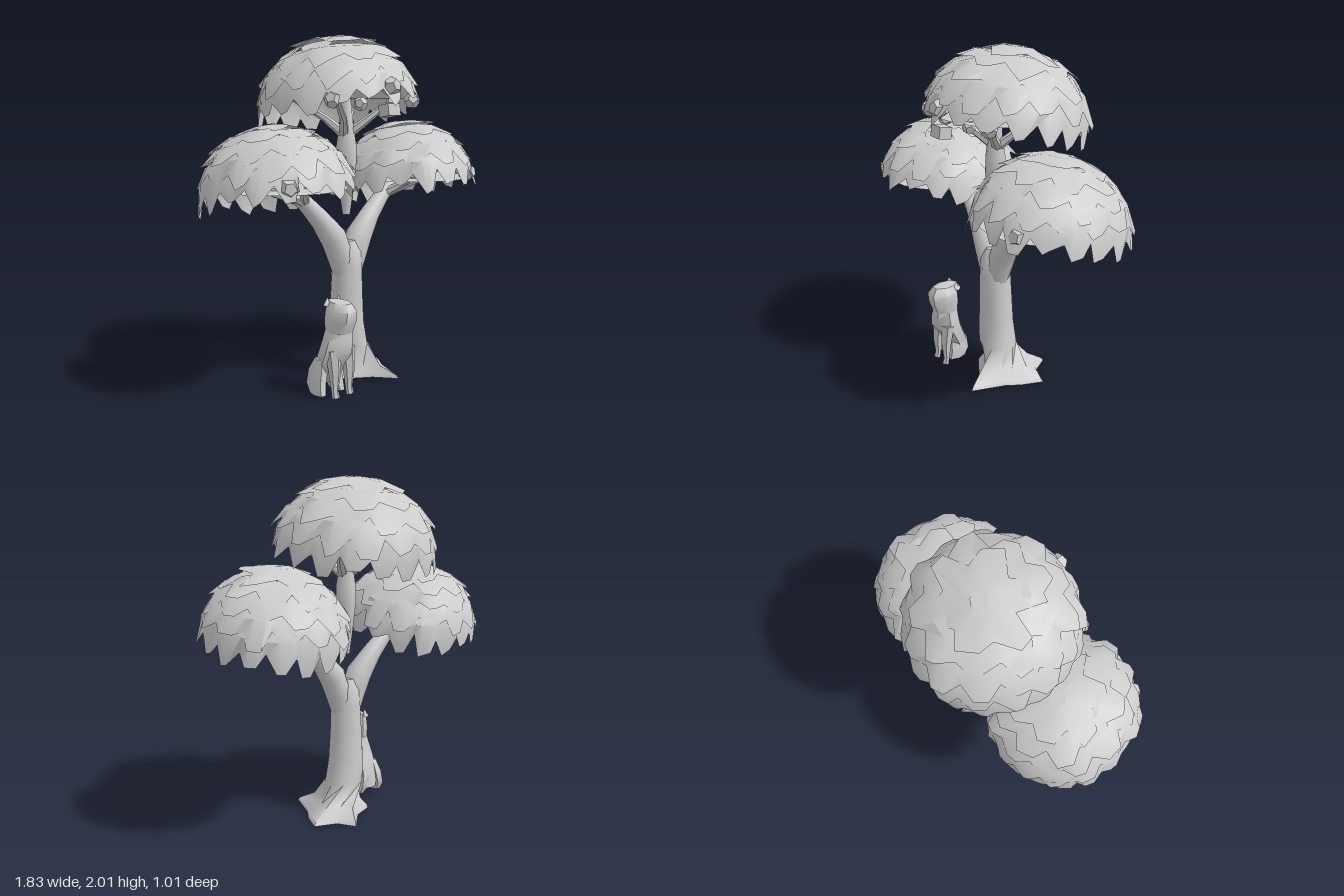
import * as THREE from 'three';
import { toCreasedNormals } from 'three/addons/utils/BufferGeometryUtils.js';

const grey = new THREE.MeshStandardMaterial({ color: 0xcccccc, side: THREE.DoubleSide });
grey.name = 'plain grey';

let seed = 7;
const rnd = () => (seed = (seed * 16807) % 2147483647) / 2147483647;
const V = (x, y, z) => new THREE.Vector3(x, y, z);

function part(name, geometry) {
  const mesh = new THREE.Mesh(geometry, grey);
  mesh.name = name;
  return mesh;
}

// Skin a list of equal-length rings; optionally close both ends.
function loft(rings, capped = true, crease = 0.9) {
  const n = rings[0].length, pos = [], idx = [];
  rings.forEach(r => r.forEach(p => pos.push(p.x, p.y, p.z)));
  for (let k = 0; k < rings.length - 1; k++) {
    for (let i = 0; i < n; i++) {
      const j = (i + 1) % n, a = k * n, b = a + n;
      idx.push(a + i, a + j, b + j, a + i, b + j, b + i);
    }
  }
  if (capped) {
    [0, rings.length - 1].forEach((k, end) => {
      const c = rings[k].reduce((s, p) => s.add(p), V(0, 0, 0)).divideScalar(n);
      const ci = pos.length / 3;
      pos.push(c.x, c.y, c.z);
      for (let i = 0; i < n; i++) {
        const j = (i + 1) % n;
        if (end) idx.push(ci, k * n + i, k * n + j);
        else idx.push(ci, k * n + j, k * n + i);
      }
    });
  }
  const g = new THREE.BufferGeometry();
  g.setAttribute('position', new THREE.Float32BufferAttribute(pos, 3));
  g.setIndex(idx);
  return toCreasedNormals(g, crease);
}

// Horizontal elliptical ring.
function flatRing([x, y, z, rx, rz], n, start = 0) {
  return Array.from({ length: n }, (_, i) => {
    const a = start + i / n * Math.PI * 2;
    return V(x + Math.sin(a) * rx, y, z + Math.cos(a) * rz);
  });
}

// Tapered limb along points [x, y, z, radius].
function limb(points, n = 8) {
  const c = points.map(p => V(p[0], p[1], p[2]));
  return loft(c.map((p, k) => {
    const d = c[Math.min(k + 1, c.length - 1)].clone().sub(c[Math.max(k - 1, 0)]).normalize();
    const u = V(0, 0, 1).addScaledVector(d, -d.z).normalize();
    const v = d.clone().cross(u);
    return Array.from({ length: n }, (_, i) => {
      const a = i / n * Math.PI * 2, r = points[k][3];
      return p.clone().addScaledVector(u, Math.cos(a) * r).addScaledVector(v, Math.sin(a) * r);
    });
  }));
}

// Tilted dome of overlapping ragged leaf skirts over a level underside.
function canopy(name, x, y, z, rx, h, rz, floorY) {
  const group = new THREE.Group(), dome = new THREE.Group();
  group.name = name;
  dome.name = 'leafDome';
  const at = (deg, a, r) => {
    const t = deg * Math.PI / 180;
    return V(Math.sin(t) * Math.sin(a) * r, Math.cos(t) * r, Math.sin(t) * Math.cos(a) * r);
  };
  const layers = [[1, 26, 6], [20, 41, 9], [36, 57, 12], [51, 72, 15], [64, 88, 18]];
  layers.forEach(([t0, t1, teeth], k) => {
    const n = teeth * 3, twist = rnd() * 6, rings = [[], [], []];
    let drop = 0, flare = 0, skew = 0;
    for (let i = 0; i < n; i++) {
      const notch = i % 3 === 0;
      if (notch) {
        drop = 5 + rnd() * 11;
        flare = 0.98 + rnd() * 0.09;
        skew = 0.6 + rnd() * 0.4;
      }
      const a = twist + (i + (rnd() - 0.5) * 0.5) / n * Math.PI * 2;
      const tip = notch ? t1 - 4 + rnd() * 5 : t1 + drop * (i % 3 === 1 ? 1 : skew);
      rings[0].push(at(tip, a, notch ? 0.99 : flare));
      rings[1].push(at((t0 + t1) / 2, a, 0.98 + (flare - 1) * 0.5));
      rings[2].push(at(t0, a, k ? 0.94 : 0.985));
    }
    dome.add(part('leafLayer', loft(rings, false, 0.6)));
  });
  const crown = part('crownTop', new THREE.CircleGeometry(0.1, 9).rotateX(-Math.PI / 2));
  crown.position.y = 0.985;
  dome.add(crown);
  dome.scale.set(rx, h, rz);
  dome.rotation.x = -0.19;
  dome.position.set(x, y, z);
  const under = part('underside', new THREE.CircleGeometry(1, 24).rotateX(Math.PI / 2));
  under.scale.set(rx * 0.93, 1, rz * 0.93);
  under.position.set(x, floorY, z - 0.01);
  group.add(dome, under);
  return group;
}

// Seated animal facing the front.
function seatedAnimal() {
  const g = new THREE.Group();
  g.name = 'seatedAnimal';
  const rings = (list, n) => loft(list.map(r => flatRing(r, n, Math.PI / n)), true, 0.9);
  g.add(part('body', rings([
    [-0.265, 0.05, 0.16, 0.06, 0.04], [-0.265, 0.14, 0.2, 0.09, 0.08],
    [-0.258, 0.25, 0.255, 0.1, 0.092], [-0.25, 0.32, 0.265, 0.09, 0.085],
    [-0.245, 0.37, 0.265, 0.076, 0.08]], 7)));
  g.add(part('head', rings([
    [-0.245, 0.355, 0.265, 0.076, 0.078], [-0.242, 0.43, 0.275, 0.084, 0.098],
    [-0.24, 0.49, 0.28, 0.08, 0.1], [-0.24, 0.53, 0.265, 0.05, 0.085]], 7)));
  for (const s of [-1, 1]) {
    const x = -0.25 + s * 0.052;
    g.add(part('frontLeg', limb([[x, 0.27, 0.28, 0.045], [x, 0.14, 0.295, 0.034],
      [x, 0.04, 0.295, 0.02], [x, 0, 0.305, 0.022]], 6)));
    const hx = -0.285 + s * 0.05;
    g.add(part('haunch', rings([
      [hx + s * 0.02, 0.01, 0.21, 0.03, 0.06], [hx + s * 0.015, 0.06, 0.19, 0.04, 0.07],
      [hx, 0.14, 0.19, 0.044, 0.065], [hx, 0.21, 0.21, 0.025, 0.04]], 6)));
    const ear = part('ear', new THREE.ConeGeometry(0.032, 0.045, 4));
    ear.position.set(-0.24 + s * 0.042, 0.528, 0.21);
    g.add(ear);
  }
  return g;
}

export function createModel() {
  const model = new THREE.Group();
  model.name = 'treeWithAnimal';

  // Trunk with spreading roots on one side
  const foot = [[0.16, 0.34], [0.23, 0.14], [0.28, 0.06], [0.33, -0.07], [0.2, -0.12],
    [0.14, -0.22], [0.02, -0.09], [-0.1, -0.04], [-0.1, 0.12], [0.06, 0.22]];
  const rootRing = (y, k) => foot.map(([x, z]) => V(Math.max(-0.1, x * k), y, 0.05 + (z - 0.05) * k));
  const trunkRings = [[0.018, 0.19, 0.05, 0.122, 0.112], [0.002, 0.33, 0.05, 0.112, 0.102],
    [0, 0.5, 0.052, 0.1, 0.098], [0, 0.66, 0.055, 0.092, 0.093], [0, 0.75, 0.055, 0.08, 0.09],
    [0, 0.82, 0.055, 0.035, 0.06]];
  model.add(part('trunk', loft([rootRing(0.005, 1), rootRing(0.025, 0.95), rootRing(0.07, 0.65),
    ...trunkRings.map(r => flatRing(r, 10, 0.6))])));

  // Mirrored limbs and side canopies
  for (const s of [-1, 1]) {
    model.add(part('branch', limb([[s * 0.022, 0.6, 0.055, 0.062], [s * 0.05, 0.72, 0.055, 0.078],
      [s * 0.1, 0.84, 0.052, 0.08], [s * 0.195, 0.955, 0.045, 0.06],
      [s * 0.3, 1.06, 0.04, 0.047], [s * 0.41, 1.14, 0.04, 0.036], [s * 0.5, 1.2, 0.04, 0.025]], 10)));
    for (const [x, y, z] of [[0.62, 1.17, 0.18], [0.42, 1.18, 0.22], [0.6, 1.17, -0.12], [0.36, 1.18, -0.1]]) {
      model.add(part('twig', limb([[s * 0.3, 1.06, 0.04, 0.03],
        [s * (0.35 + x) / 2, 1.13, z * 0.6, 0.022], [s * x, y, z, 0.013]], 6)));
    }
    for (const z of [0.22, -0.18]) {
      model.add(part('upperTwig', limb([[s * 0.02, 1.44, 0.05, 0.03],
        [s * 0.1, 1.53, 0.05 + z * 0.4, 0.022], [s * 0.23, 1.65, z, 0.013]], 6)));
    }
    model.add(canopy(s < 0 ? 'rightCanopy' : 'leftCanopy', s * 0.5, 1.125, 0.05, 0.41, 0.385, 0.435, 1.165));
  }

  // Central stem and top canopy
  model.add(part('centralStem', limb([[0, 0.97, 0.05, 0.022], [0, 1.1, 0.05, 0.04], [0, 1.28, 0.05, 0.06],
    [0, 1.38, 0.05, 0.058], [0, 1.5, 0.05, 0.04], [0, 1.66, 0.04, 0.03]])));
  model.add(canopy('topCanopy', 0, 1.59, -0.03, 0.47, 0.41, 0.465, 1.64));

  // Loose leaf clumps at the front of the canopies
  for (const [x, y, z, r] of [[0, 1.7, 0.41, 0.055], [-0.31, 1.63, 0.29, 0.048],
    [0.29, 1.63, 0.29, 0.048], [-0.12, 1.61, 0.3, 0.04], [0.12, 1.61, 0.3, 0.04],
    [-0.68, 1.2, 0.39, 0.055], [0.68, 1.2, 0.39, 0.055]]) {
    const clump = part('leafClump', new THREE.DodecahedronGeometry(r, 0));
    clump.position.set(x, y, z);
    clump.rotation.set(x * 3, y, 0.3);
    model.add(clump);
  }
  const hangingLeaf = part('hangingLeaf', new THREE.BoxGeometry(0.09, 0.065, 0.075));
  hangingLeaf.position.set(0, 1.575, 0.4);
  hangingLeaf.rotation.x = -0.15;
  model.add(hangingLeaf);

  model.add(seatedAnimal());
  return model;
}
